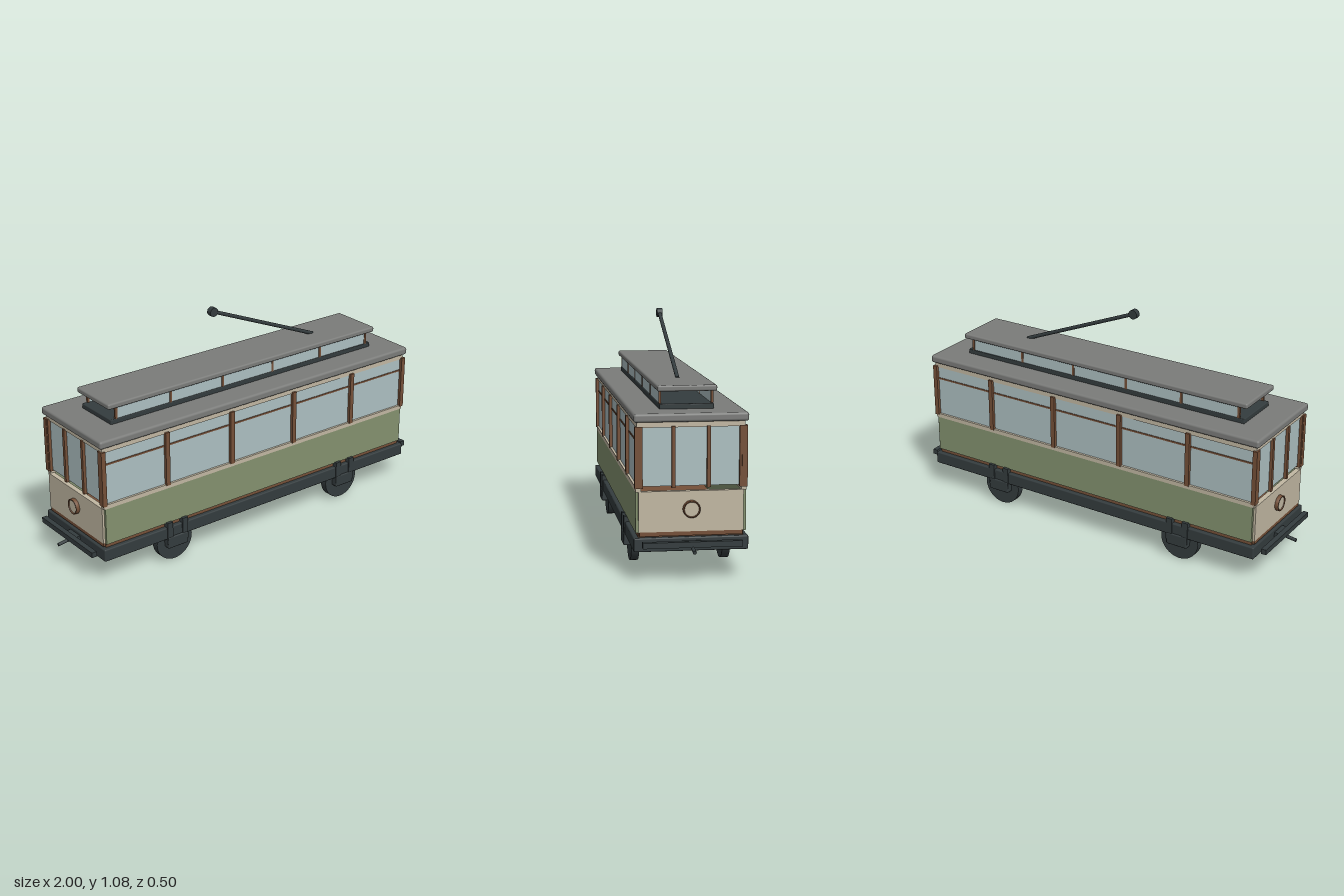
import * as THREE from 'three';
import { RoundedBoxGeometry } from 'three/addons/geometries/RoundedBoxGeometry.js';

const mat = (name, color, side = THREE.FrontSide) => {
  const m = new THREE.MeshStandardMaterial({ color, side });
  m.name = name;
  return m;
};

export function createModel() {
  const tram = new THREE.Group();
  tram.name = 'tramCar';
  const green = mat('sage green', 0x84926f);
  const cream = mat('cream', 0xc2b8a3);
  const wood = mat('brown wood', 0x755038);
  const glass = mat('pale blue glass', 0xadc0c2);
  const grey = mat('roof grey', 0x7b7c7a);
  const iron = mat('dark iron', 0x343c3e);

  const add = (name, geo, material, x = 0, y = 0, z = 0) => {
    const mesh = new THREE.Mesh(geo, material);
    mesh.name = name;
    mesh.position.set(x, y, z);
    tram.add(mesh);
    return mesh;
  };
  // Box given by its centre x, z and its bottom and top heights
  const box = (name, material, w, d, y0, y1, x = 0, z = 0, r = 0) => add(name,
    r ? new RoundedBoxGeometry(w, y1 - y0, d, 2, r) : new THREE.BoxGeometry(w, y1 - y0, d),
    material, x, (y0 + y1) / 2, z);
  // Cylinder between two points
  const rod = (name, material, a, b, r, sides = 16) => {
    const p = new THREE.Vector3(...a), q = new THREE.Vector3(...b);
    const mid = p.clone().add(q).multiplyScalar(0.5);
    const mesh = add(name, new THREE.CylinderGeometry(r, r, p.distanceTo(q), sides), material, mid.x, mid.y, mid.z);
    mesh.quaternion.setFromUnitVectors(new THREE.Vector3(0, 1, 0), q.sub(p).normalize());
    return mesh;
  };

  // Underframe and floor
  box('chassis', iron, 1.81, 0.49, 0.125, 0.185, 0, 0, 0.006);
  box('floorSill', wood, 1.77, 0.45, 0.185, 0.21);

  // Wheels, axles and axle guards
  for (const x of [-0.51, 0.51]) {
    rod('axle', iron, [x, 0.105, -0.24], [x, 0.105, 0.24], 0.028, 20);
    for (const s of [-1, 1]) {
      rod('wheel', iron, [x, 0.098, s * 0.186], [x, 0.098, s * 0.221], 0.098, 32);
      box('axleBox', iron, 0.11, 0.04, 0.077, 0.135, x, s * 0.232, 0.006);
      for (const t of [-1, 1]) box('axleGuard', iron, 0.03, 0.03, 0.1, 0.209, x + t * 0.042, s * 0.235);
    }
  }

  for (const s of [-1, 1]) {
    // Lower side panel with waist rail
    box('sidePanel', green, 1.775, 0.014, 0.205, 0.38, 0, s * 0.229);
    box('waistRail', cream, 1.79, 0.022, 0.38, 0.4, 0, s * 0.225);
    box('sideWindow', glass, 1.77, 0.01, 0.4, 0.652, 0, s * 0.22);
    box('transomBar', wood, 1.77, 0.014, 0.586, 0.594, 0, s * 0.221);
    box('letterBoard', cream, 1.785, 0.024, 0.65, 0.69, 0, s * 0.218);
    for (const x of [-0.89, -0.55, -0.185, 0.185, 0.55, 0.89])
      box('sidePillar', wood, 0.022, 0.024, 0.395, 0.657, x, s * 0.228);

    // End walls
    box('endPanel', cream, 0.024, 0.448, 0.208, 0.382, s * 0.886);
    box('endSill', wood, 0.024, 0.44, 0.19, 0.21, s * 0.884);
    box('endWindow', glass, 0.01, 0.43, 0.402, 0.655, s * 0.88);
    box('endHeader', cream, 0.024, 0.43, 0.652, 0.685, s * 0.88);
    for (const z of [-0.214, -0.075, 0.075, 0.214])
      box('endPillar', wood, 0.022, 0.016, 0.395, 0.657, s * 0.888, z);

    // Headlamp with wooden rim
    rod('headlamp', cream, [s * 0.89, 0.305, 0], [s * 0.911, 0.305, 0], 0.033, 28);
    const rim = add('headlampRim', new THREE.LatheGeometry([
      [0.031, 0], [0.037, 0], [0.037, 0.022], [0.031, 0.022], [0.031, 0],
    ].map(([r, h]) => new THREE.Vector2(r, h)), 28), wood, s * 0.893, 0.305, 0);
    rim.rotation.z = -s * Math.PI / 2;

    // Bumper and coupler
    box('bumper', iron, 0.025, 0.425, 0.149, 0.174, s * 0.94);
    box('bumperMount', iron, 0.04, 0.08, 0.145, 0.17, s * 0.915);
    rod('coupler', iron, [s * 0.89, 0.153, 0], [s * 0.998, 0.138, 0], 0.008, 12);

    // Clerestory side windows
    box('clerestoryWindow', glass, 1.48, 0.006, 0.733, 0.792, 0, s * 0.112);
    for (let i = 0; i < 6; i++)
      box('clerestoryPost', wood, 0.012, 0.01, 0.733, 0.792, -0.738 + i * 0.2952, s * 0.113);

    // Bench backs just above the waist
    for (const z of [0.095, 0.205])
      box('benchRail', wood, 1.4, 0.008, 0.386, 0.403, 0, s * z);
  }

  // Roofs
  box('mainRoof', grey, 1.815, 0.49, 0.675, 0.712, 0, 0, 0.011);
  box('clerestoryBase', iron, 1.535, 0.236, 0.71, 0.734, 0, 0, 0.004);
  box('clerestoryRoof', grey, 1.57, 0.258, 0.789, 0.815, 0, 0, 0.008);

  // Trolley pole with its wheel
  rod('trolleyPole', iron, [0.49, 0.812, 0], [-0.115, 1.06, 0], 0.009, 14);
  rod('trolleyWheel', iron, [-0.117, 1.06, -0.013], [-0.117, 1.06, 0.013], 0.022, 20);

  return tram;
}
